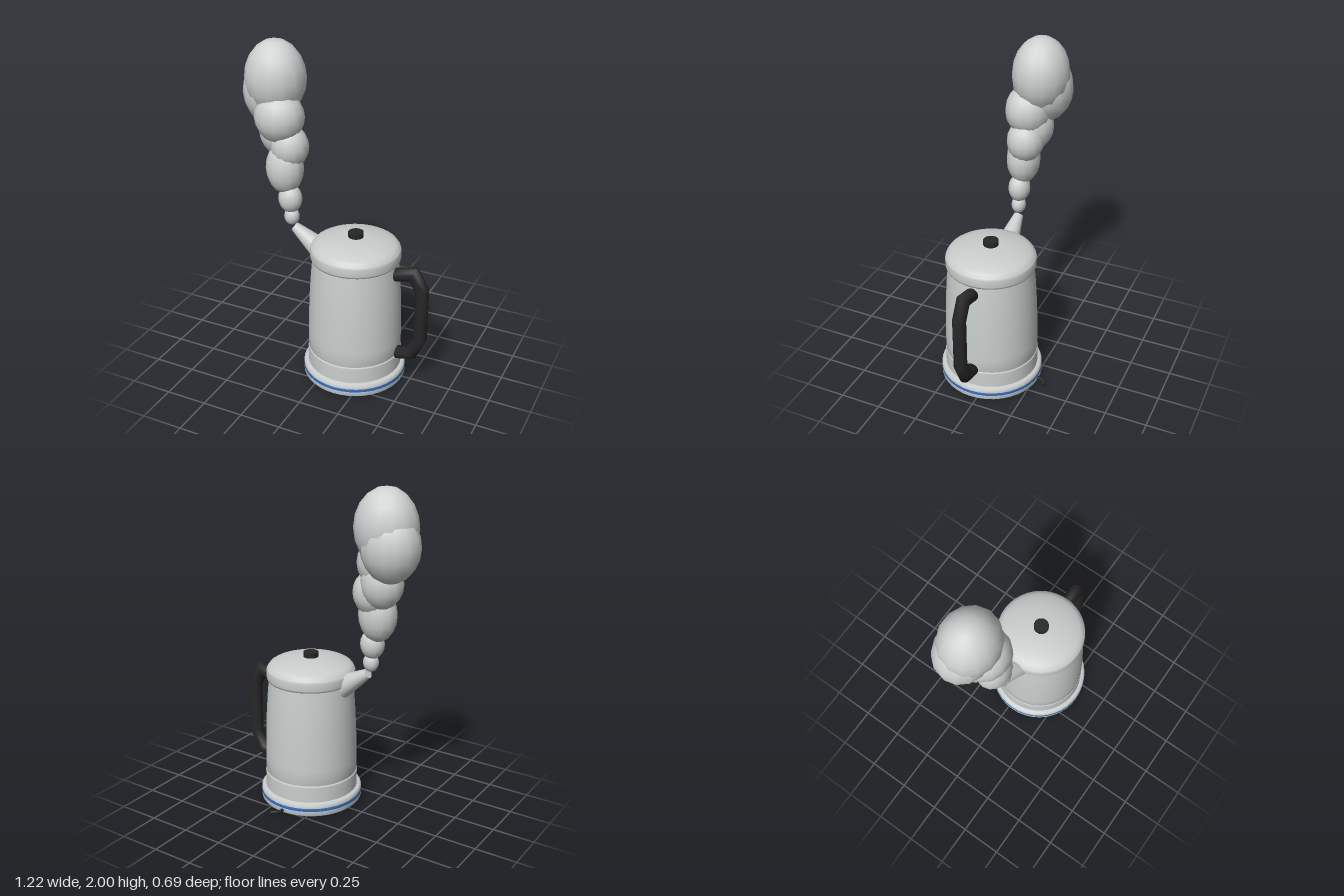
import * as THREE from 'three';

const material = (name, color, side = THREE.FrontSide) => {
  const m = new THREE.MeshStandardMaterial({ color, side });
  m.name = name;
  return m;
};

// Sweeps a mitred round section along a planar path; n is the plane normal
function sweep(path, n, radius, sides = 12) {
  const pts = path.map(p => new THREE.Vector3(...p));
  const last = pts.length - 1;
  const pos = [], index = [];
  const dir = i => pts[i + 1].clone().sub(pts[i]).normalize();
  pts.forEach((p, i) => {
    const t0 = dir(Math.max(i - 1, 0)), t1 = dir(Math.min(i, last - 1));
    const t = t0.clone().add(t1).normalize();
    const side = n.clone().cross(t).multiplyScalar(radius / t.dot(t1));
    for (let j = 0; j < sides; j++) {
      const a = j / sides * Math.PI * 2;
      const v = p.clone().addScaledVector(side, Math.cos(a)).addScaledVector(n, radius * Math.sin(a));
      pos.push(v.x, v.y, v.z);
    }
  });
  for (let i = 0; i < last; i++) {
    for (let j = 0; j < sides; j++) {
      const a = i * sides + j, b = i * sides + (j + 1) % sides;
      index.push(a, b, a + sides, b, b + sides, a + sides);
    }
  }
  // End caps
  const c0 = pos.length / 3;
  pos.push(...pts[0].toArray(), ...pts[last].toArray());
  for (let j = 0; j < sides; j++) {
    const k = (j + 1) % sides;
    index.push(c0, k, j, c0 + 1, last * sides + j, last * sides + k);
  }
  const g = new THREE.BufferGeometry();
  g.setAttribute('position', new THREE.Float32BufferAttribute(pos, 3));
  g.setIndex(index);
  g.computeVertexNormals();
  return g;
}

export function createModel() {
  const root = new THREE.Group();
  root.name = 'steamingKettle';
  const metal = material('brushed metal', 0xc9cecd, THREE.DoubleSide);
  const steamMat = material('steam', 0xcdd1d0);
  const black = material('black plastic', 0x262626);
  const blue = material('blue light', 0x2f70cc);

  const add = (name, geometry, mat, parent = root) => {
    const mesh = new THREE.Mesh(geometry, mat);
    mesh.name = name;
    parent.add(mesh);
    return mesh;
  };

  // Turned parts share the kettle's axis
  const kettle = new THREE.Group();
  kettle.name = 'kettle';
  kettle.position.set(0.143, 0, 0.035);
  root.add(kettle);
  const turned = (name, profile, mat = metal) =>
    add(name, new THREE.LatheGeometry(profile.map(p => new THREE.Vector2(...p)), 40), mat, kettle);

  const underside = add('underside', new THREE.CircleGeometry(0.3, 40), metal, kettle);
  underside.rotation.x = Math.PI / 2;
  underside.position.y = 0.001;
  turned('baseFoot', [[0.3, 0], [0.31, 0.01], [0.31, 0.036]]);
  turned('lightRing', [[0.308, 0.034], [0.311, 0.036], [0.311, 0.054], [0.308, 0.056]], blue);
  turned('baseRim', [[0.31, 0.054], [0.31, 0.07], [0.3, 0.083], [0.27, 0.085]]);
  turned('lowerBand', [[0.283, 0.08], [0.283, 0.178], [0.281, 0.186], [0.26, 0.187]]);
  turned('body', [[0.262, 0.184], [0.28, 0.19], [0.28, 0.28], [0.277, 0.42],
    [0.271, 0.56], [0.262, 0.69], [0.252, 0.79]]);
  turned('collar', [[0.245, 0.778], [0.262, 0.782], [0.267, 0.795], [0.267, 0.838], [0.261, 0.853], [0.25, 0.856]]);
  turned('lid', [[0.26, 0.852], [0.25, 0.868], [0.23, 0.88], [0.185, 0.897],
    [0.12, 0.91], [0.06, 0.916], [0, 0.918]]);

  // Lid knob
  const knob = add('lidKnob', new THREE.CylinderGeometry(0.045, 0.045, 0.035, 24), black, kettle);
  knob.position.y = 0.928;

  // Tapered spout, leaning out to the model's right
  const tip = new THREE.Vector3(-0.258, 0.893, 0.035);
  const heel = new THREE.Vector3(-0.05, 0.753, 0.035);
  const axis = tip.clone().sub(heel);
  const spout = add('spout', new THREE.CylinderGeometry(0.029, 0.078, axis.length(), 20), metal);
  spout.position.copy(tip).add(heel).multiplyScalar(0.5);
  spout.quaternion.setFromUnitVectors(new THREE.Vector3(0, 1, 0), axis.normalize());

  // Angular handle
  const z = 0.037;
  add('handle', sweep([[0.37, 0.72, z], [0.51, 0.756, z], [0.565, 0.655, z],
    [0.565, 0.335, z], [0.512, 0.22, z], [0.38, 0.187, z]], new THREE.Vector3(0, 0, 1), 0.04, 14), black);

  // Short power cord at the back
  add('powerCord', sweep([[0.145, 0.02, -0.24], [0.145, 0.02, -0.307], [0.188, 0.02, -0.338]],
    new THREE.Vector3(0, 1, 0), 0.011, 8), black);

  // Rising steam: x, y, z, then radii across x, y, z
  const steam = new THREE.Group();
  steam.name = 'steam';
  root.add(steam);
  const puff = new THREE.SphereGeometry(1, 14, 10);
  [
    [-0.272, 0.962, 0.04, 0.047, 0.056, 0.044],
    [-0.28, 1.075, 0.04, 0.073, 0.088, 0.066],
    [-0.317, 1.26, 0.03, 0.115, 0.16, 0.1],
    [-0.292, 1.39, 0.01, 0.113, 0.13, 0.11],
    [-0.37, 1.46, -0.02, 0.125, 0.145, 0.11],
    [-0.352, 1.565, 0.017, 0.15, 0.155, 0.135],
    [-0.44, 1.68, -0.06, 0.17, 0.2, 0.155],
    [-0.4, 1.775, -0.038, 0.182, 0.225, 0.168],
  ].forEach(([x, y, zz, rx, ry, rz], i) => {
    const m = add('steamPuff' + (i + 1), puff, steamMat, steam);
    m.position.set(x, y, zz);
    m.scale.set(rx, ry, rz);
  });

  return root;
}
